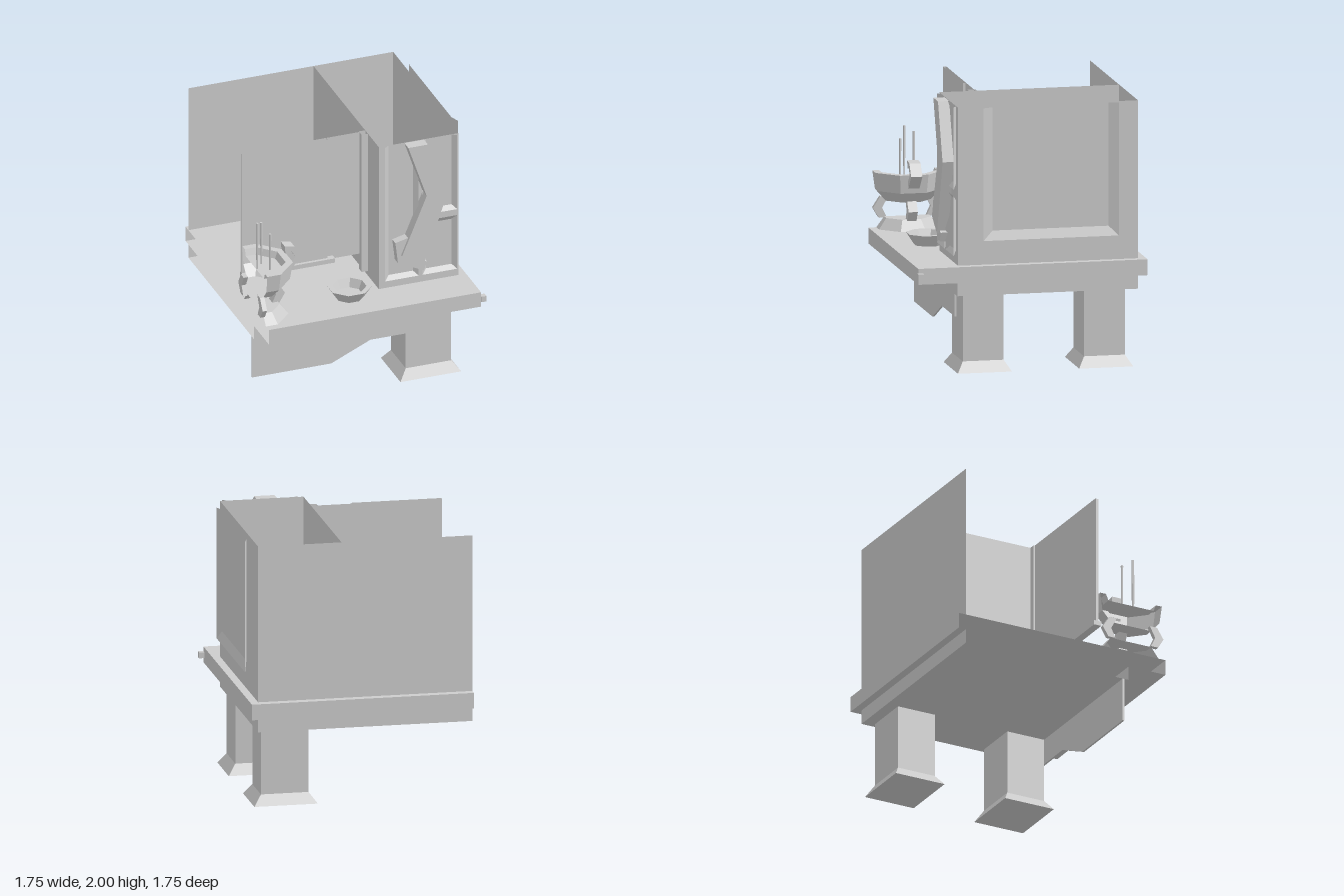
import * as THREE from 'three';

const stone = new THREE.MeshStandardMaterial({ color: 0xcccccc, side: THREE.DoubleSide });
stone.name = 'plain grey';

const CUT = -0.86; // the building is open along this x plane

export function createModel() {
  const group = new THREE.Group();

  const add = (name, geometry, x = 0, y = 0, z = 0) => {
    const geo = geometry.index ? geometry.toNonIndexed() : geometry;
    geo.computeVertexNormals(); // faceted look
    const mesh = new THREE.Mesh(geo, stone);
    mesh.name = name;
    mesh.position.set(x, y, z);
    group.add(mesh);
    return mesh;
  };

  // Box from bounds; omit lists faces left open: 0 +x, 1 -x, 2 +y, 3 -y, 4 +z, 5 -z
  const box = (name, x0, x1, y0, y1, z0, z1, omit = []) => {
    const geo = new THREE.BoxGeometry(x1 - x0, y1 - y0, z1 - z0);
    const all = Array.from(geo.index.array);
    geo.setIndex(all.filter((_, i) => !omit.includes(Math.floor(i / 6))));
    return add(name, geo, (x0 + x1) / 2, (y0 + y1) / 2, (z0 + z1) / 2);
  };

  // Flat sheet facing +z
  const sheet = (name, x0, x1, y0, y1, z) =>
    add(name, new THREE.PlaneGeometry(x1 - x0, y1 - y0), (x0 + x1) / 2, (y0 + y1) / 2, z);

  // Flat sheet facing +x
  const sideSheet = (name, z0, z1, y0, y1, x) => {
    const mesh = sheet(name, 0, z1 - z0, y0, y1, 0);
    mesh.position.set(x, (y0 + y1) / 2, (z0 + z1) / 2);
    mesh.rotation.y = Math.PI / 2;
  };

  // Outline in x and y, given a depth from z0 to z1
  const slab = (points, z0, z1) => {
    const shape = new THREE.Shape(points.map(p => new THREE.Vector2(...p)));
    return new THREE.ExtrudeGeometry(shape, { depth: z1 - z0, bevelEnabled: false }).translate(0, 0, z0);
  };

  // Window tray whose rim flares forward from a smaller back pane
  const tray = (name, x0, x1, y0, y1, inset, depth, openTop) => {
    const top = openTop ? y1 : y1 - inset;
    const rim = [[x0, y0, depth], [x1, y0, depth], [x1, y1, depth], [x0, y1, depth]];
    const back = [[x0 + inset, y0 + inset, 0], [x1 - inset, y0 + inset, 0], [x1 - inset, top, 0], [x0 + inset, top, 0]];
    const tris = [];
    const quad = (a, b, c, d) => tris.push(...a, ...b, ...c, ...a, ...c, ...d);
    quad(...back);
    for (let k = 0; k < 4; k++) {
      if (k === 2 && openTop) continue;
      const n = (k + 1) % 4;
      quad(rim[k], rim[n], back[n], back[k]);
    }
    const geo = new THREE.BufferGeometry();
    geo.setAttribute('position', new THREE.Float32BufferAttribute(tris, 3));
    return add(name, geo);
  };

  // Eight-sided turned shape; profile is [distance to the flat, y]
  const octagon = (profile, sides = 8) => {
    const k = 1 / Math.cos(Math.PI / 8);
    const pts = profile.map(([r, y]) => new THREE.Vector2(r * k, y));
    return new THREE.LatheGeometry(pts, sides, -Math.PI / 8, sides * Math.PI / 4);
  };

  // Half of an eight-sided shape, trimmed at x = 0
  const halfOctagon = profile => {
    const geo = octagon(profile, 5);
    const pos = geo.attributes.position;
    for (let i = 0; i < pos.count; i++) pos.setX(i, Math.max(0, pos.getX(i)));
    return geo;
  };

  // Platform in two steps, open at the cut
  box('platform', CUT, 0.82, 0.69, 0.81, -0.87, 0.87, [1]);
  box('lowerPlatform', CUT, 0.76, 0.58, 0.69, -0.81, 0.56, [1, 2]);
  box('cornerPeg', 0.82, 0.86, 0.73, 0.775, 0.835, 0.877);

  // Front apron with a stepped lower edge
  add('apron', slab([[CUT, 0.24], [-0.235, 0.24], [0.075, 0.38], [0.51, 0.38], [0.51, 0.58], [CUT, 0.58]], 0.51, 0.524));

  // Two legs with flared feet
  for (const z of [0.355, -0.565]) {
    box('leg', 0.36, 0.72, 0.08, 0.58, z - 0.155, z + 0.155, [2, 3]);
    const foot = new THREE.BoxGeometry(0.48, 0.08, 0.41);
    const pos = foot.attributes.position;
    for (let i = 0; i < pos.count; i++) {
      if (pos.getY(i) > 0) pos.setXYZ(i, Math.sign(pos.getX(i)) * 0.18, 0.04, Math.sign(pos.getZ(i)) * 0.155);
    }
    add('foot', foot, 0.54, 0.04, z);
  }

  // Open-topped walls
  sheet('backWall', CUT, 0.76, 0.81, 2, -0.81);
  sheet('cabinetFront', 0.13, 0.76, 0.81, 2, 0.555);
  sideSheet('outerWall', -0.81, 0.555, 0.81, 2, 0.76);
  sideSheet('partition', -0.81, 0.555, 0.81, 2, 0.13);

  // Serving window: two panes, a sill and a post
  sheet('rearPane', CUT, 0.13, 0.98, 2, 0.28);
  box('frontPane', CUT, -0.18, 0.98, 2, 0.285, 0.305, [2]);
  box('sill', CUT, -0.13, 0.97, 1.005, 0.27, 0.33);
  box('windowPost', 0.08, 0.13, 0.85, 2, 0.27, 0.33, [2]);

  // Framed windows on the cabinet front and the outer wall
  const frontTrays = [
    [0.17, 0.435, 0.88, 2, true],
    [0.465, 0.74, 0.88, 1.33, false],
    [0.465, 0.74, 1.38, 2, true],
  ];
  for (const [x0, x1, y0, y1, open] of frontTrays) {
    tray('frontWindow', x0, x1, y0, y1, 0.036, 0.025, open).position.z = 0.558;
  }
  const side = tray('sideWindow', -0.375, 0.65, 1.0, 2, 0.072, 0.025, true);
  side.rotation.y = Math.PI / 2;
  side.position.x = 0.8;

  // Bent ornament hanging over the cabinet front
  add('ornamentArm', slab([[0.33, 2], [0.475, 1.57], [0.28, 1.1], [0.45, 1.0], [0.64, 1.57], [0.485, 2]], 0.56, 0.645));
  add('ornamentHook', slab([[0.235, 1.21], [0.335, 1.235], [0.33, 1.08], [0.485, 1.01], [0.46, 0.94], [0.255, 1.04]], 0.54, 0.625));

  // Incense burner, halved at the cut
  const cz = 0.58;
  add('burnerBowl', halfOctagon([[0, 1.02], [0.17, 1.02], [0.24, 1.1], [0.26, 1.24], [0.21, 1.24], [0.19, 1.19], [0, 1.19]]), CUT, 0, cz);
  add('burnerBase', halfOctagon([[0.23, 0.81], [0.17, 0.89], [0, 0.89]]), CUT, 0, cz);
  const legShape = [[0.12, 0.88], [0.18, 0.88], [0.225, 0.955], [0.17, 1.04], [0.11, 1.04], [0.155, 0.955]];
  add('burnerLeg', slab(legShape, -0.035, 0.035), CUT, 0, cz);
  for (const s of [1, -1]) {
    const leg = add('burnerLeg', s > 0 ? slab(legShape, 0, 0.035) : slab(legShape, -0.035, 0), CUT, 0, cz + s * 0.03);
    leg.rotation.y = -s * Math.PI / 2;
  }
  add('burnerHandle', slab([[-0.6, 1.14], [-0.505, 1.245], [-0.565, 1.335], [-0.64, 1.347],
    [-0.635, 1.285], [-0.585, 1.295], [-0.555, 1.245], [-0.615, 1.19]], 0.54, 0.625));
  for (const [x, z, top] of [[-0.85, 0.6, 1.57], [-0.795, 0.54, 1.535], [-0.767, 0.65, 1.49]]) {
    const height = top - 1.19;
    add('incenseStick', new THREE.CylinderGeometry(0.01, 0.007, height, 5), x, 1.19 + height / 2, z);
  }

  // Offering bowl
  add('offeringBowl', octagon([[0, 0.812], [0.1, 0.812], [0.155, 0.9], [0.118, 0.9], [0.09, 0.835], [0, 0.835]]), -0.115, 0, 0.585);

  return group;
}
